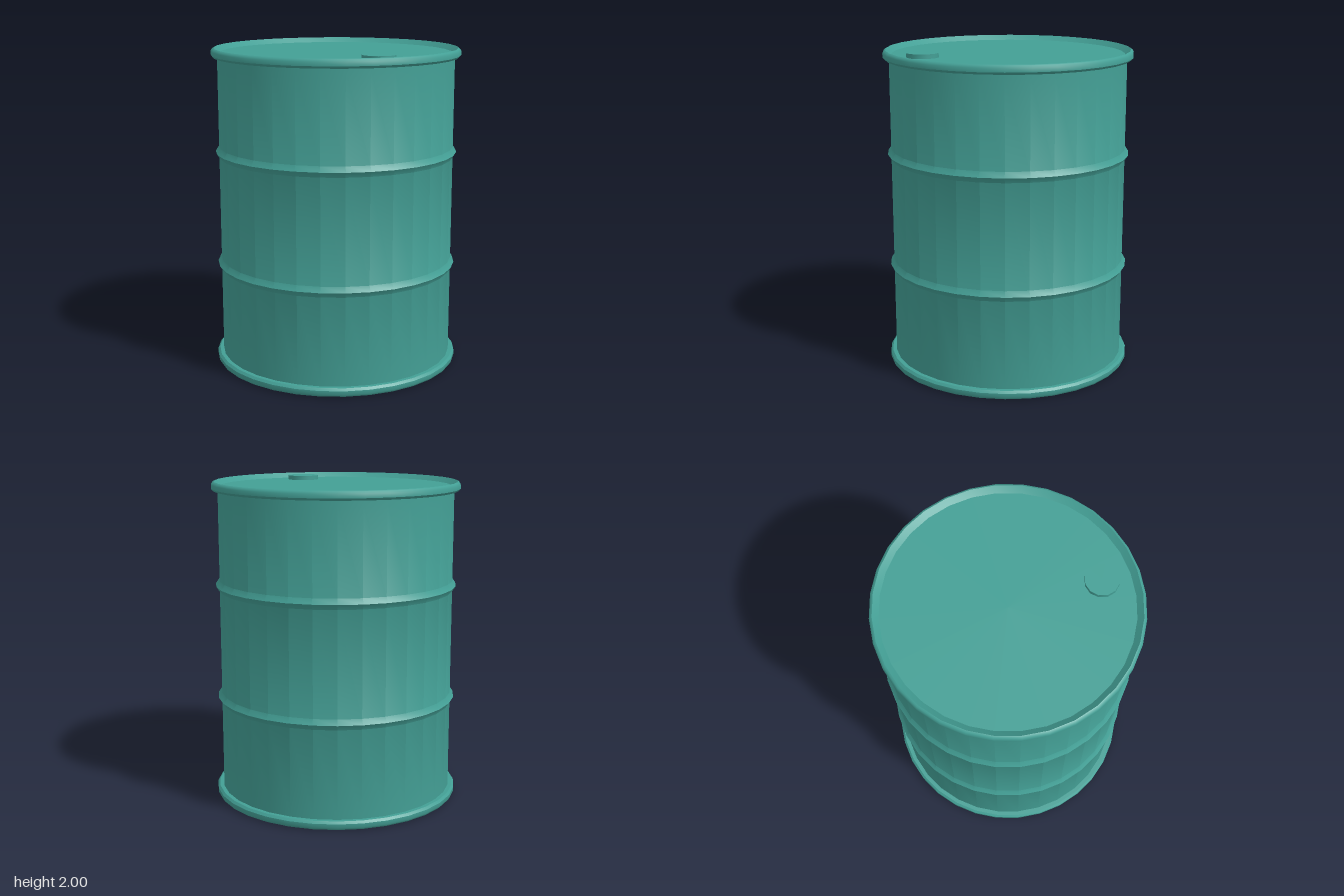
import * as THREE from 'three';
import { toCreasedNormals } from 'three/addons/utils/BufferGeometryUtils.js';

const SIDES = 32;
const BODY_R = 0.735;

export function createModel() {
  const group = new THREE.Group();
  group.name = 'drum';
  const paint = new THREE.MeshStandardMaterial({ color: 0x439f95 });

  const add = (name, geometry) => {
    const mesh = new THREE.Mesh(toCreasedNormals(geometry, 0.6), paint);
    mesh.name = name;
    group.add(mesh);
    return mesh;
  };

  // Lower half of the profile: recessed base, chamfered rim, wall and one pointed rib
  const half = [
    [0, 0.03], [0.72, 0.03], [0.755, 0], [0.765, 0.005], [0.773, 0.018],
    [0.773, 0.042], [0.76, 0.056], [BODY_R, 0.056],
    [BODY_R, 0.61], [0.757, 0.643], [BODY_R, 0.676],
  ];
  // The upper half mirrors the lower one
  const profile = [...half, ...half.map(([r, y]) => [r, 2 - y]).reverse()];
  add('barrelShell', new THREE.LatheGeometry(profile.map(([r, y]) => new THREE.Vector2(r, y)), SIDES));

  // Bung cap on the lid, near the front
  const cap = add('bungCap', new THREE.CylinderGeometry(0.1, 0.1, 0.03, 12));
  cap.position.set(0, 1.982, 0.55);

  return group;
}
